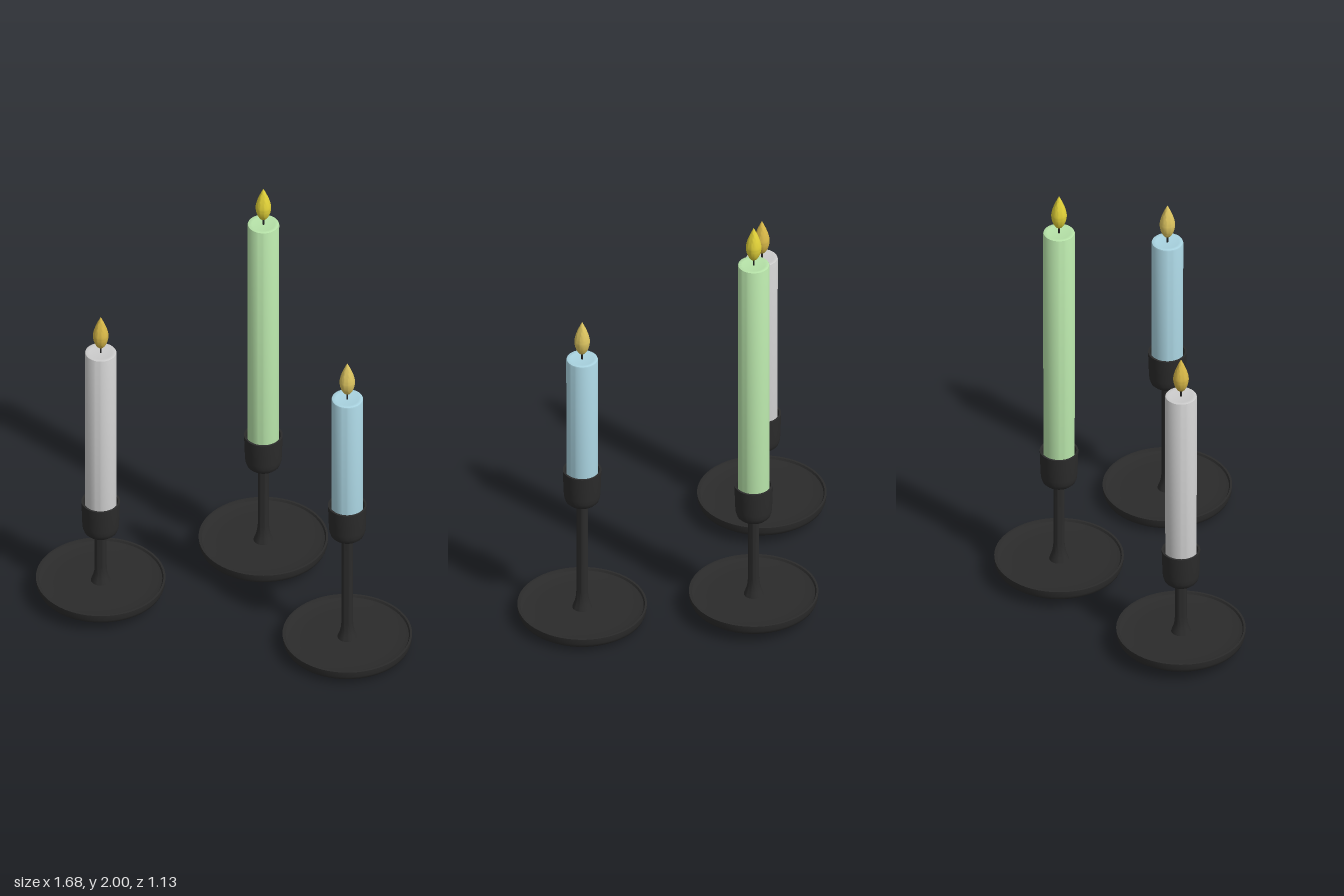
import * as THREE from 'three';
import { toCreasedNormals } from 'three/addons/utils/BufferGeometryUtils.js';

const HOLDER = 0x2b2b2b;

// Turned part from [radius, height] points, listed bottom to top on the outside
function turned(name, points, color, segments = 48) {
  const profile = points.map(([r, y]) => new THREE.Vector2(r, y));
  const geometry = toCreasedNormals(new THREE.LatheGeometry(profile, segments), 0.65);
  const mesh = new THREE.Mesh(geometry, new THREE.MeshStandardMaterial({ color }));
  mesh.name = name;
  return mesh;
}

function createCandlestick({ name, x, z, base, cup, top, stem, wax, fire }) {
  const group = new THREE.Group();
  group.name = name;
  group.position.set(x, 0, z);
  const rim = base + 0.068;
  const lip = cup + 0.172;

  // Shallow dish with a rounded underside and a low lip
  group.add(turned('base', [
    [0, base], [0.19, base], [0.225, base + 0.004], [0.255, base + 0.013], [0.273, base + 0.027],
    [0.279, base + 0.042], [0.281, rim], [0.272, rim], [0.267, rim - 0.009],
    [0.25, rim - 0.014], [0.2, rim - 0.016], [0, rim - 0.016],
  ], HOLDER, 64));

  // Stem flaring into the dish
  group.add(turned('stem', [
    [0.044, rim - 0.02], [0.039, rim - 0.004], [0.033, rim + 0.012],
    [0.028, rim + 0.035], [stem, rim + 0.07], [stem, cup + 0.01],
  ], HOLDER, 32));

  // Cup with rounded bottom and an open socket
  group.add(turned('cup', [
    [0, cup], [0.045, cup], [0.061, cup + 0.005], [0.072, cup + 0.016], [0.078, cup + 0.034],
    [0.08, cup + 0.055], [0.084, lip], [0.075, lip], [0.072, lip - 0.02],
    [0.072, cup + 0.04], [0, cup + 0.04],
  ], HOLDER));

  // Candle with a softened top edge
  group.add(turned('candle', [
    [0, cup + 0.04], [0.068, cup + 0.04], [0.069, top - 0.007], [0.067, top - 0.002],
    [0.063, top], [0.05, top - 0.002], [0, top - 0.004],
  ], wax));

  group.add(turned('wick', [
    [0.004, top - 0.01], [0.004, top + 0.04], [0, top + 0.04],
  ], 0x222222, 10));

  // Teardrop flame
  const drop = [[0, 0.022], [0.012, 0.028], [0.022, 0.042], [0.03, 0.062], [0.034, 0.086],
    [0.032, 0.106], [0.025, 0.132], [0.015, 0.158], [0.007, 0.176], [0, 0.19]];
  const curve = new THREE.SplineCurve(drop.map(([r, y]) => new THREE.Vector2(r, y)));
  group.add(turned('flame',
    curve.getPoints(24).map((p) => [Math.max(p.x, 0), top + p.y]), fire, 32));
  return group;
}

export function createModel() {
  const model = new THREE.Group();
  model.name = 'candlesticks';
  const sticks = [
    { name: 'shortCandlestick', x: -0.562, z: 0.135, base: 0.034, cup: 0.344, top: 1.33, stem: 0.026, wax: 0xcccccc, fire: 0xd8b848 },
    { name: 'tallCandlestick', x: 0.073, z: -0.285, base: 0.034, cup: 0.485, top: 1.81, stem: 0.024, wax: 0xb6e2a8, fire: 0xe0d038 },
    { name: 'mediumCandlestick', x: 0.557, z: 0.282, base: 0.004, cup: 0.602, top: 1.356, stem: 0.025, wax: 0xa9d3e0, fire: 0xdcc460 },
  ];
  for (const stick of sticks) model.add(createCandlestick(stick));
  return model;
}
